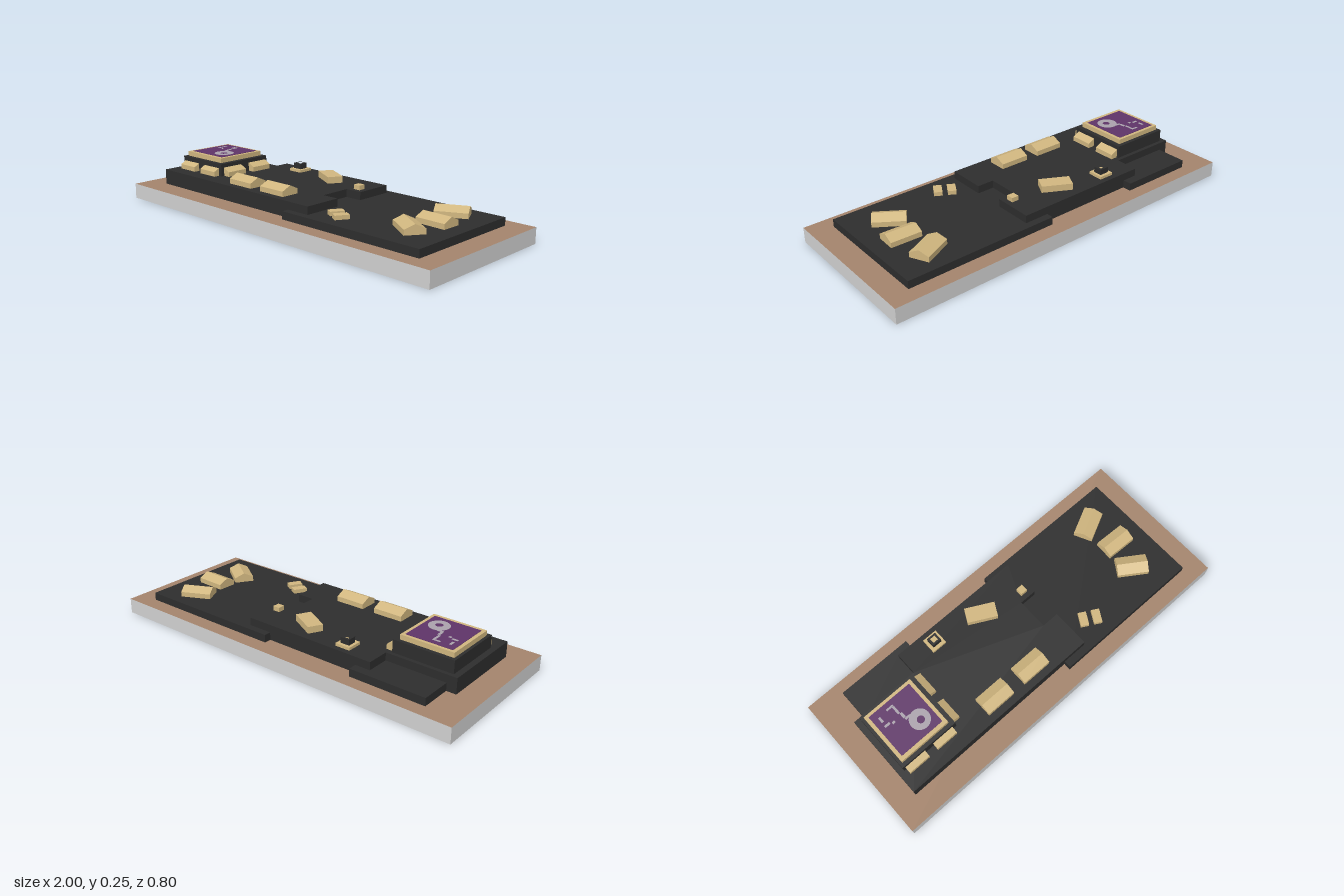
import * as THREE from 'three';

const mat = (name, color) => {
  const m = new THREE.MeshStandardMaterial({ color });
  m.name = name;
  return m;
};

export function createModel() {
  const earth = mat('earth brown', 0xa4846c);
  const stone = mat('pale grey', 0xd0d0d0);
  const dark = mat('charcoal', 0x2d2d2d);
  const tan = mat('tan', 0xd0b67f);
  const purple = mat('purple', 0x5e3468);
  const lilac = mat('grey lilac', 0xaaa2ac);

  const model = new THREE.Group();
  model.name = 'siteModel';

  const add = (name, geometry, material, x = 0, y = 0, z = 0, turn = 0) => {
    const mesh = new THREE.Mesh(geometry, material);
    mesh.name = name;
    mesh.position.set(x, y, z);
    mesh.rotation.y = THREE.MathUtils.degToRad(turn);
    model.add(mesh);
    return mesh;
  };

  // Box standing on height y
  const box = (name, material, x, y, z, w, h, d, turn = 0) =>
    add(name, new THREE.BoxGeometry(w, h, d), material, x, y + h / 2, z, turn);

  // Plan outline in [x, z] raised from y0 to y1, with an optional hole
  const slab = (name, material, outline, y0, y1, hole) => {
    const path = pts => pts.map(([x, z]) => new THREE.Vector2(x, -z));
    const shape = new THREE.Shape(path(outline));
    if (hole) shape.holes.push(new THREE.Path(path(hole)));
    const g = new THREE.ExtrudeGeometry(shape, { depth: y1 - y0, bevelEnabled: false });
    g.rotateX(-Math.PI / 2);
    return add(name, g, material, 0, y0, 0);
  };
  const rect = (x0, x1, z0, z1) => [[x0, z0], [x1, z0], [x1, z1], [x0, z1]];

  // Cross-section in [z, y] run along x and centred
  const prism = (profile, length) => {
    const shape = new THREE.Shape(profile.map(([z, y]) => new THREE.Vector2(-z, y)));
    const g = new THREE.ExtrudeGeometry(shape, { depth: length, bevelEnabled: false });
    return g.translate(0, 0, -length / 2).rotateY(Math.PI / 2);
  };

  // Base board: grey edges, brown top and underside
  add('baseBoard', new THREE.BoxGeometry(2, 0.08, 0.8),
    [stone, stone, earth, earth, stone, stone], 0, 0.04, 0);

  // Terraces
  slab('lowerTerrace', dark, [
    [0.085, -0.322], [0.885, -0.322], [0.885, 0.318], [0.085, 0.318],
  ], 0.08, 0.12);
  slab('backTerrace', dark, rect(-0.83, -0.43, -0.33, -0.15), 0.08, 0.12);
  slab('upperTerrace', dark, [
    [-0.88, -0.165], [-0.51, -0.165], [-0.51, -0.285], [0.215, -0.285],
    [0.215, -0.085], [0.125, -0.085], [0.125, 0.08], [0.215, 0.08],
    [0.215, 0.28], [-0.88, 0.28],
  ], 0.08, 0.16);

  // Main hall with a framed roof
  slab('hallBody', dark, rect(-0.85, -0.53, -0.145, 0.175), 0.16, 0.225);
  box('hallRoof', tan, -0.695, 0.225, 0.015, 0.28, 0.025, 0.28);
  box('roofPanel', purple, -0.695, 0.25, 0.013, 0.244, 0.002, 0.244);

  // Painted ring and broken strokes on the roof panel
  const ring = new THREE.Shape().absarc(0, 0, 0.052, 0, Math.PI * 2);
  ring.holes.push(new THREE.Path().absarc(0.003, -0.004, 0.019, 0, Math.PI * 2));
  const ringGeo = new THREE.ExtrudeGeometry(ring, { depth: 0.001, bevelEnabled: false, curveSegments: 16 });
  add('roofRing', ringGeo.rotateX(-Math.PI / 2), lilac, -0.645, 0.252, 0.058);
  const strokes = [
    [-0.782, -0.06, 0.012, 0.03], [-0.775, -0.022, 0.03, 0.012],
    [-0.745, -0.012, 0.015, 0.012], [-0.715, -0.078, 0.04, 0.01],
    [-0.7, -0.05, 0.012, 0.045], [-0.692, -0.01, 0.014, 0.03],
    [-0.68, 0.012, 0.03, 0.012],
  ];
  for (const [x, z, w, d] of strokes) box('roofStroke', lilac, x, 0.252, z, w, 0.001, d);

  // Lean-to wings around the hall: two in front, two at its left
  const lean = [[0, 0], [0, 0.045], [0.038, 0.025], [0.038, 0]];
  for (const x of [-0.778, -0.61]) add('frontWing', prism(lean, 0.118), tan, x, 0.16, 0.168);
  for (const z of [-0.075, 0.097]) add('sideWing', prism(lean, 0.118), tan, -0.53, 0.16, z, 90);

  // Gabled houses on both terraces: x, y, z, turn
  const gable = [[-0.05, 0], [-0.05, 0.026], [0, 0.049], [0.05, 0.026], [0.05, 0]];
  const houses = [
    [-0.3, 0.16, 0.193, 0], [-0.07, 0.16, 0.193, 0],
    [0.69, 0.12, -0.185, 26], [0.724, 0.12, -0.018, -2], [0.69, 0.12, 0.136, -34],
  ];
  for (const [x, y, z, turn] of houses) add('gabledHouse', prism(gable, 0.16), tan, x, y, z, turn);

  // Flat-roofed buildings and huts
  box('flatHouse', tan, -0.067, 0.16, -0.171, 0.155, 0.034, 0.078, -28);
  box('hut', tan, 0.168, 0.16, -0.13, 0.038, 0.023, 0.038);
  for (const [x, z] of [[0.303, 0.183], [0.363, 0.216]])
    box('smallHut', tan, x, 0.12, z, 0.072, 0.021, 0.042, 60);

  // Well tower: tan footing with a hollow dark shaft
  box('towerFooting', tan, -0.333, 0.16, -0.216, 0.08, 0.014, 0.08);
  slab('towerShaft', dark, rect(-0.358, -0.308, -0.239, -0.193), 0.174, 0.203,
    rect(-0.347, -0.319, -0.229, -0.203));

  return model;
}
